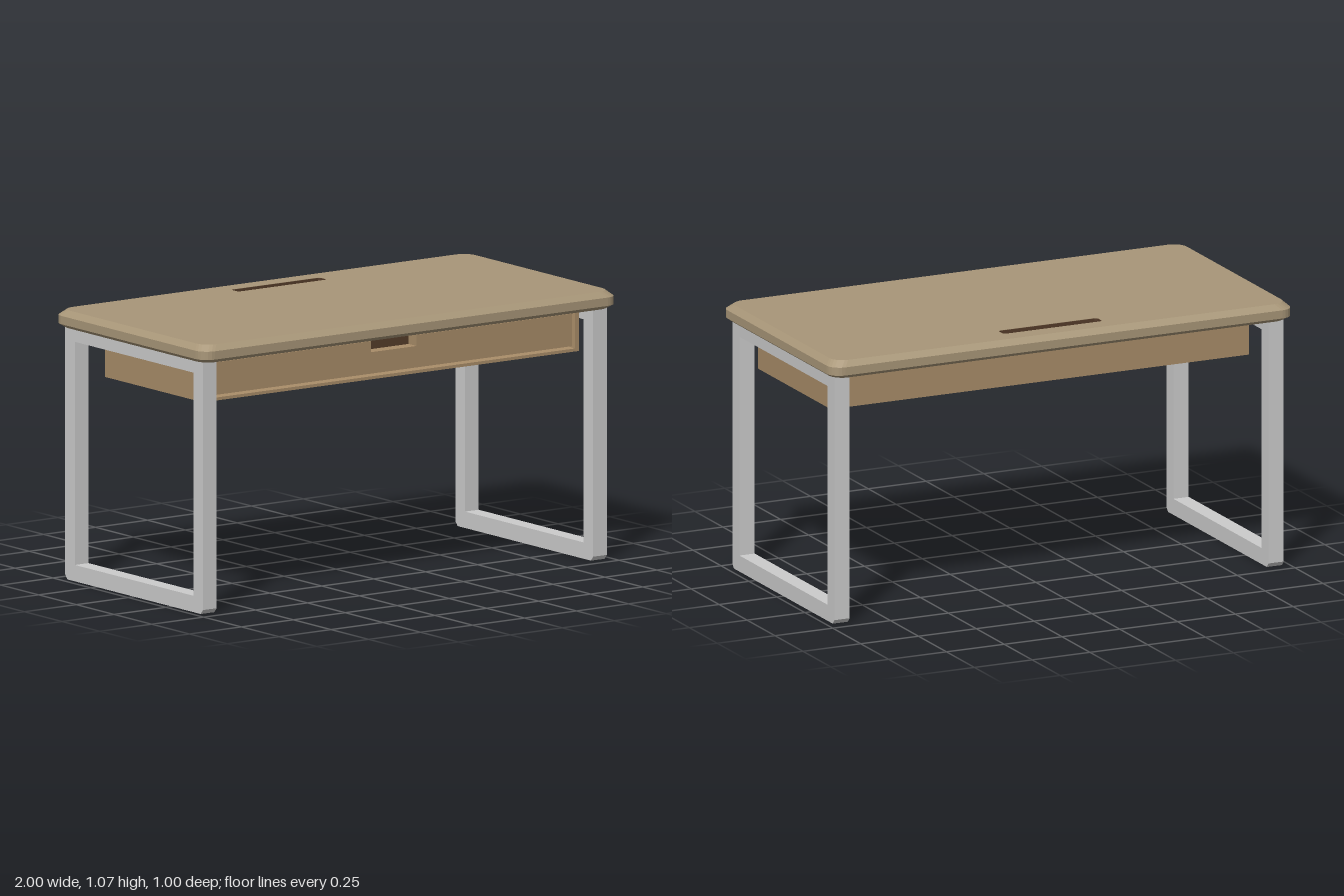
import * as THREE from 'three';

const mat = (color) => new THREE.MeshStandardMaterial({ color, flatShading: true });
const topWood = mat(0xa89678), drawerWood = mat(0xa88c68), darkWood = mat(0x553c2a), metal = mat(0xcccccc);

function add(parent, name, geometry, material, x = 0, y = 0, z = 0) {
  const mesh = new THREE.Mesh(geometry, material);
  mesh.name = name;
  mesh.position.set(x, y, z);
  parent.add(mesh);
  return mesh;
}

const polygon = (points, Type = THREE.Shape) => new Type(points.map(([x, y]) => new THREE.Vector2(x, y)));
const rect = (x0, y0, x1, y1, Type) => polygon([[x0, y0], [x1, y0], [x1, y1], [x0, y1]], Type);

function roundedRect(cx, cy, hw, hh, r, Type = THREE.Shape) {
  const s = new Type();
  s.absarc(cx + hw - r, cy + hh - r, r, 0, Math.PI / 2);
  s.absarc(cx - hw + r, cy + hh - r, r, Math.PI / 2, Math.PI);
  s.absarc(cx - hw + r, cy - hh + r, r, Math.PI, Math.PI * 1.5);
  s.absarc(cx + hw - r, cy - hh + r, r, Math.PI * 1.5, Math.PI * 2);
  s.closePath();
  return s;
}

const extrude = (shape, depth, steps = 1) =>
  new THREE.ExtrudeGeometry(shape, { depth, steps, bevelEnabled: false, curveSegments: 3 });

// Slab with bevelled rim and a straight cable slot
function desktopGeometry() {
  const shape = roundedRect(0, 0, 1, 0.5, 0.055);
  shape.holes.push(roundedRect(0, 0.378, 0.215, 0.026, 0.015, THREE.Path));
  const g = extrude(shape, 3, 3);
  const heights = [1.0, 1.015, 1.048, 1.07], insets = [0.02, 0, 0, 0.023];
  const p = g.attributes.position;
  for (let i = 0; i < p.count; i++) {
    const layer = Math.round(p.getZ(i)), x = p.getX(i), y = p.getY(i);
    const inset = Math.abs(x) > 0.5 ? insets[layer] : 0;
    p.setXYZ(i, x - Math.sign(x) * inset, heights[layer], -(y - Math.sign(y) * inset));
  }
  g.computeVertexNormals();
  return g;
}

// Drawer surround whose opening flares towards the front
function surroundGeometry() {
  const shape = rect(-0.905, 0.82, 0.905, 1.0);
  shape.holes.push(rect(-0.87, 0.84, 0.87, 0.982, THREE.Path));
  const g = extrude(shape, 0.065);
  const p = g.attributes.position;
  for (let i = 0; i < p.count; i++) {
    if (p.getZ(i) < 0.06 || Math.abs(p.getX(i)) > 0.9) continue;
    p.setX(i, p.getX(i) + Math.sign(p.getX(i)) * 0.015);
    p.setY(i, p.getY(i) + (p.getY(i) < 0.9 ? -0.008 : 0.006));
  }
  g.computeVertexNormals();
  return g;
}

export function createModel() {
  const desk = new THREE.Group();
  desk.name = 'desk';

  add(desk, 'desktop', desktopGeometry(), topWood);

  // Dark lining of the cable slot
  const lining = roundedRect(0, 0.378, 0.215, 0.026, 0.015);
  lining.holes.push(roundedRect(0, 0.378, 0.212, 0.023, 0.012, THREE.Path));
  add(desk, 'slotLining', extrude(lining, 0.068), darkWood, 0, 1.001, 0).rotation.x = -Math.PI / 2;

  // Closed frame legs with chamfered feet
  const frame = polygon([[-0.442, 0], [0.442, 0], [0.457, 0.018], [0.457, 1], [-0.457, 1], [-0.457, 0.018]]);
  frame.holes.push(rect(-0.393, 0.065, 0.393, 0.95, THREE.Path));
  for (const [name, x] of [['leftLegFrame', 0.906], ['rightLegFrame', -0.972]]) {
    add(desk, name, extrude(frame, 0.066), metal, x).rotation.y = Math.PI / 2;
  }

  // Drawer case and its front opening
  const drawer = new THREE.Group();
  drawer.name = 'drawer';
  desk.add(drawer);
  add(drawer, 'drawerCase', new THREE.BoxGeometry(1.81, 0.18, 0.585), drawerWood, 0, 0.91, 0.0075);
  add(drawer, 'drawerSurround', surroundGeometry(), drawerWood, 0, 0, 0.3);
  add(drawer, 'drawerGap', new THREE.BoxGeometry(1.74, 0.142, 0.03), darkWood, 0, 0.911, 0.315);

  // Drawer front with a finger notch in its top edge
  const front = polygon([
    [-0.858, 0.847], [0.858, 0.847], [0.858, 0.976], [0.11, 0.976],
    [0.11, 0.932], [-0.11, 0.932], [-0.11, 0.976], [-0.858, 0.976],
  ]);
  add(drawer, 'drawerFront', extrude(front, 0.058), drawerWood, 0, 0, 0.325);

  return desk;
}
